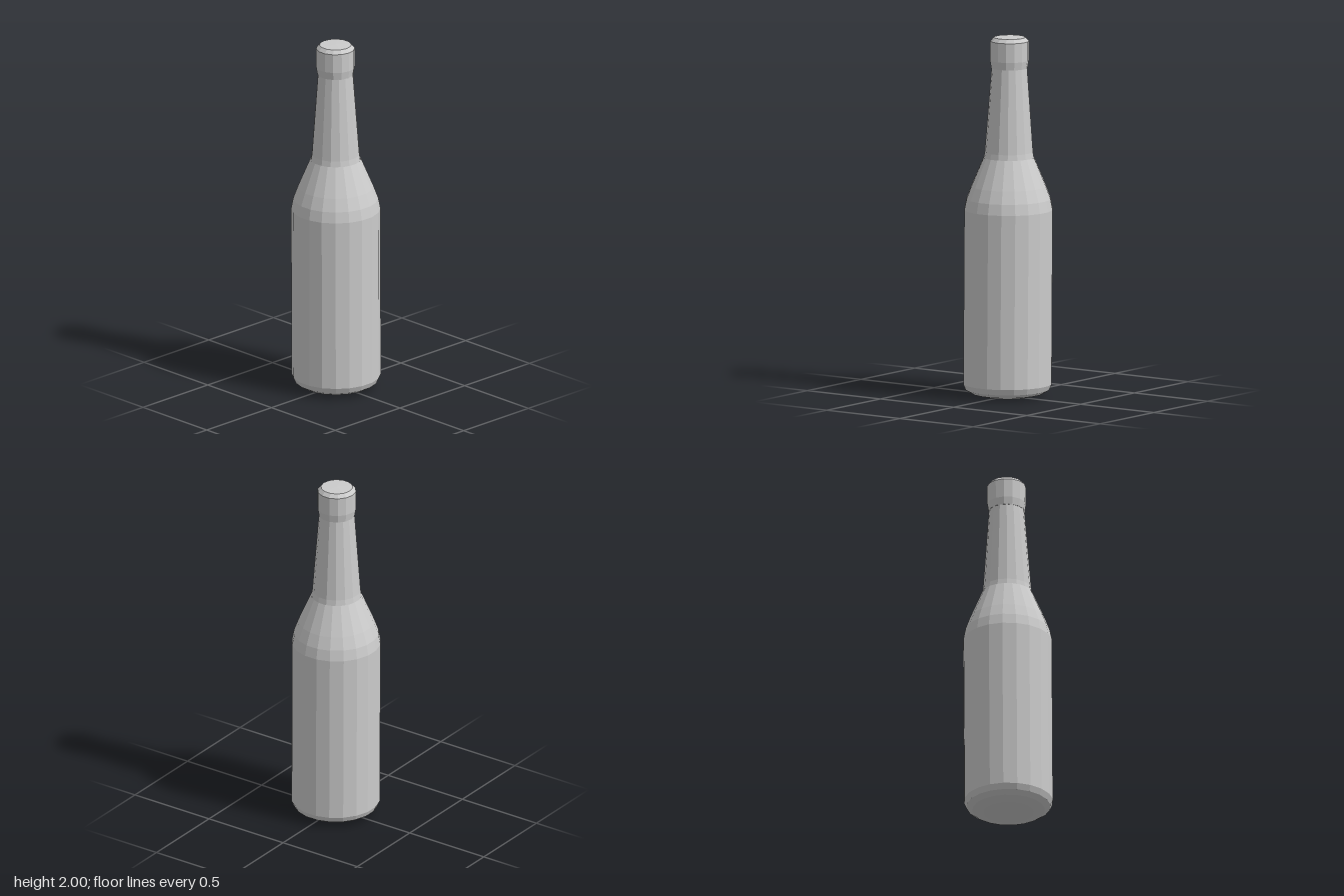
import * as THREE from 'three';

// Faceted turned part from [radius, height] pairs, with a flat facet facing front.
function turned(name, profile, sides) {
  const points = profile.map(([r, y]) => new THREE.Vector2(r, y));
  const geometry = new THREE.LatheGeometry(points, sides, Math.PI / sides);

  // The bottle leans very slightly as it rises.
  const p = geometry.attributes.position;
  for (let i = 0; i < p.count; i++) {
    const y = p.getY(i);
    p.setX(i, p.getX(i) - 0.006 * y);
    p.setZ(i, p.getZ(i) - 0.003 * y);
  }
  geometry.computeVertexNormals();

  const material = new THREE.MeshStandardMaterial({
    color: 0xcccccc, flatShading: true, side: THREE.DoubleSide,
  });
  const mesh = new THREE.Mesh(geometry, material);
  mesh.name = name;
  return mesh;
}

export function createModel() {
  const bottle = new THREE.Group();
  bottle.name = 'bottle';

  // Rounded base, straight wall and sloping shoulder
  bottle.add(turned('body', [
    [0, 0], [0.14, 0.003], [0.2, 0.018], [0.232, 0.038], [0.246, 0.07],
    [0.246, 1.04], [0.234, 1.1], [0.208, 1.17], [0.14, 1.33],
  ], 20));

  // Tapering neck
  bottle.add(turned('neck', [[0.139, 1.325], [0.133, 1.36], [0.098, 1.83]], 16));

  // Closed cap with a small bevel
  bottle.add(turned('cap', [
    [0, 1.825], [0.1, 1.827], [0.107, 1.87], [0.107, 1.977], [0.088, 1.998], [0, 2],
  ], 14));

  return bottle;
}
